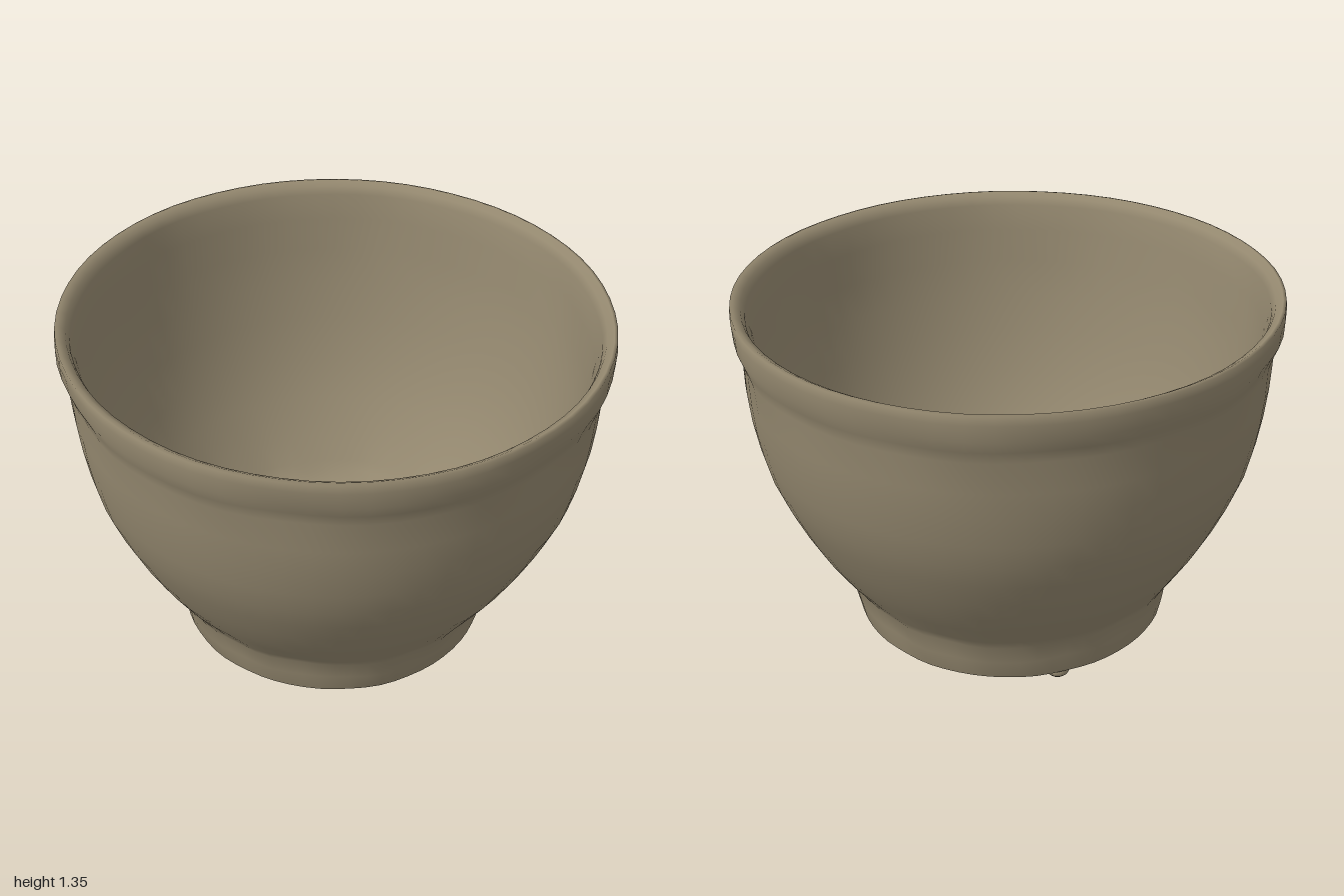
import * as THREE from 'three';
import { mergeVertices } from 'three/addons/utils/BufferGeometryUtils.js';

const clay = new THREE.MeshStandardMaterial({ color: 0x94886f });
clay.name = 'clay';

// Closed cross-section [radius, height]: underside, outer wall, lip, inner wall, floor
const PROFILE = [
  [0.04, 0.2], [0.2, 0.2], [0.37, 0.19], [0.41, 0.15], [0.46, 0.05], [0.48, 0.037],
  [0.54, 0.035], [0.575, 0.036], [0.587, 0.045], [0.6, 0.12], [0.615, 0.195], [0.64, 0.235],
  [0.7, 0.32], [0.755, 0.405], [0.81, 0.505], [0.86, 0.61], [0.9, 0.71], [0.925, 0.81],
  [0.945, 0.92], [0.957, 1.03], [0.963, 1.15], [0.975, 1.195], [0.992, 1.24], [0.995, 1.3],
  [0.992, 1.332], [0.98, 1.335], [0.955, 1.32], [0.942, 1.29], [0.925, 1.19], [0.91, 1.06],
  [0.885, 0.92], [0.85, 0.77], [0.8, 0.6], [0.73, 0.45], [0.65, 0.31], [0.585, 0.225],
  [0.56, 0.19], [0.515, 0.155], [0.475, 0.16], [0.43, 0.215], [0.4, 0.245], [0.36, 0.26],
  [0.2, 0.262], [0.04, 0.262], [0.04, 0.2],
];

// Hand-thrown unevenness: strongest around the foot and just below the lip
function wobble(angle, y) {
  const band = (mid, width) => Math.exp(-(((y - mid) / width) ** 2));
  const foot = Math.sin(5 * angle + 0.6) + 0.7 * Math.sin(11 * angle + 9 * y) + 0.5 * Math.sin(17 * angle);
  const lip = Math.sin(7 * angle + 1) + 0.8 * Math.sin(13 * angle + 8 * y);
  return 0.006 * foot * band(0.16, 0.1) + 0.0035 * lip * band(1.2, 0.1);
}

function bowlGeometry() {
  const points = PROFILE.map(([r, y]) => new THREE.Vector2(r, y));
  const lathe = new THREE.LatheGeometry(points, 64);
  lathe.deleteAttribute('uv');
  lathe.deleteAttribute('normal');
  const geometry = mergeVertices(lathe, 1e-5);
  const p = geometry.attributes.position;
  for (let i = 0; i < p.count; i++) {
    const x = p.getX(i), y = p.getY(i), z = p.getZ(i);
    const r = Math.hypot(x, z);
    const scale = r > 0.3 ? 1 + wobble(Math.atan2(x, z), y) / r : 1;
    // The foot sits slightly off centre and the rim tilts a little
    const shift = -0.012 * (1 - Math.min(y / 0.9, 1));
    p.setXYZ(i, x * scale + shift, y - 0.008 * (x + z), z * scale + shift);
  }
  geometry.computeVertexNormals();
  return geometry;
}

export function createModel() {
  const group = new THREE.Group();
  group.name = 'bowl';

  const body = new THREE.Mesh(bowlGeometry(), clay);
  body.name = 'bowlBody';
  group.add(body);

  // Three small clay lumps the foot ring rests on
  [[-0.46, 0.25], [-0.05, -0.54], [0.46, 0.24]].forEach(([x, z], i) => {
    const lump = new THREE.Mesh(new THREE.SphereGeometry(1, 12, 8), clay);
    lump.name = 'footLump' + (i + 1);
    lump.scale.set(0.045, 0.03, 0.045);
    lump.position.set(x, 0.03, z);
    group.add(lump);
  });
  return group;
}
